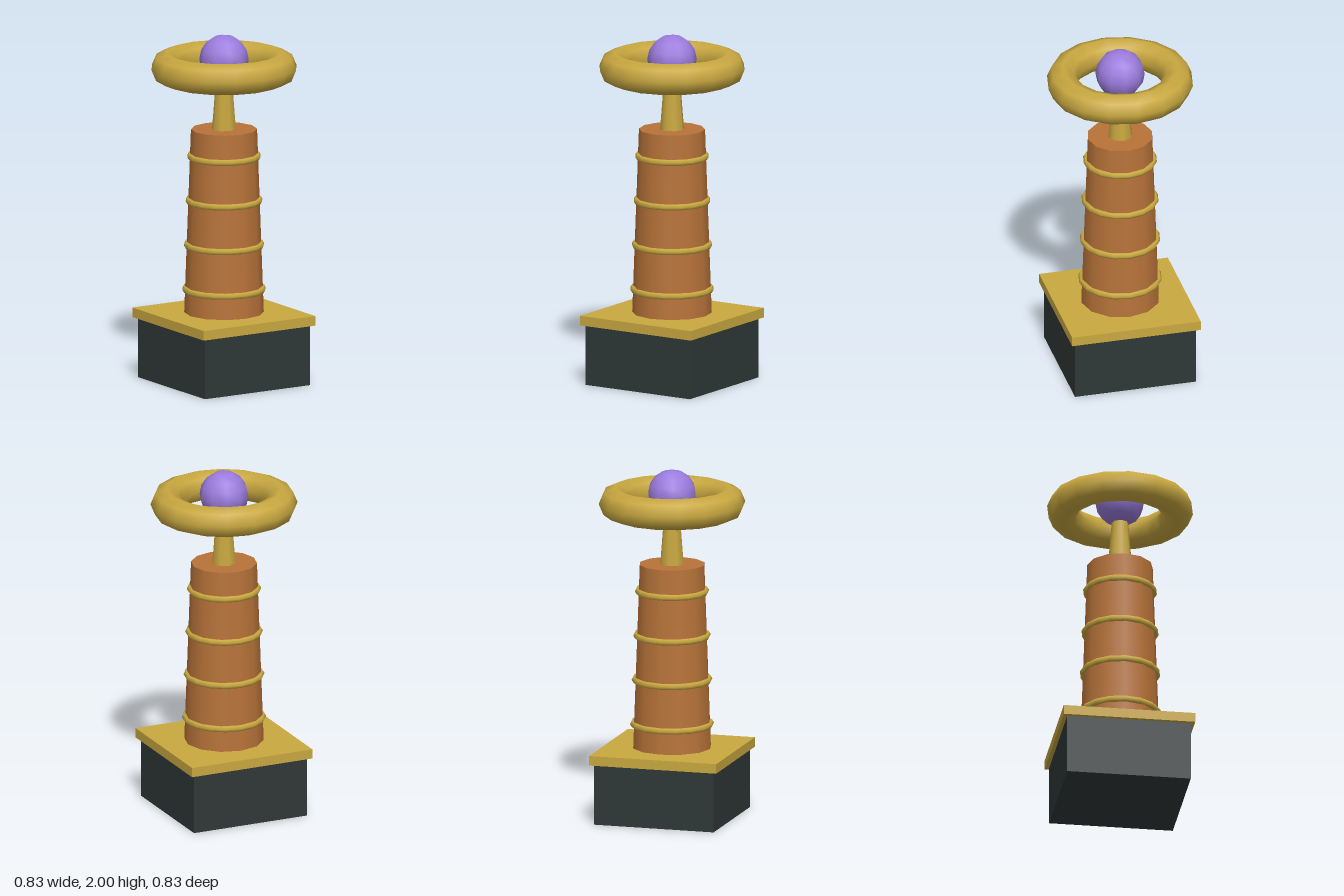
import * as THREE from 'three';

export function createModel() {
  const group = new THREE.Group();
  const material = (name, color) => {
    const m = new THREE.MeshStandardMaterial({ color });
    m.name = name;
    return m;
  };
  const gold = material('gold', 0xc9a840);
  const copper = material('copper', 0xb87339);
  const slate = material('darkSlate', 0x2f3837);
  const violet = material('violet', 0x9b7bdd);

  const add = (name, geometry, mat, y) => {
    const mesh = new THREE.Mesh(geometry, mat);
    mesh.name = name;
    mesh.position.y = y;
    group.add(mesh);
    return mesh;
  };
  // Horizontal ring around the vertical axis
  const addRing = (name, radius, tube, radialSegments, y) =>
    add(name, new THREE.TorusGeometry(radius, tube, radialSegments, 16).rotateX(Math.PI / 2), gold, y);

  // Square plinth and its overhanging cap
  add('plinth', new THREE.BoxGeometry(0.705, 0.345, 0.705), slate, 0.1725);
  add('plinthCap', new THREE.BoxGeometry(0.75, 0.055, 0.75), gold, 0.3725);

  // Tapered column
  const bottom = 0.4, top = 1.457, rBottom = 0.225, rTop = 0.187;
  add('column', new THREE.CylinderGeometry(rTop, rBottom, top - bottom, 12), copper, (bottom + top) / 2);

  // Four bands, each following the column's taper
  for (let i = 0; i < 4; i++) {
    const y = 0.535 + i * 0.2555;
    const radius = THREE.MathUtils.mapLinear(y, bottom, top, rBottom, rTop);
    addRing('columnBand' + (i + 1), radius - 0.001, 0.019, 6, y);
  }

  // Stem, halo ring and orb
  add('stem', new THREE.CylinderGeometry(0.046, 0.069, 0.293, 8), gold, top + 0.1465);
  addRing('haloRing', 0.326, 0.09, 8, 1.811);
  add('orb', new THREE.SphereGeometry(0.14, 10, 8), violet, 1.86);

  return group;
}
